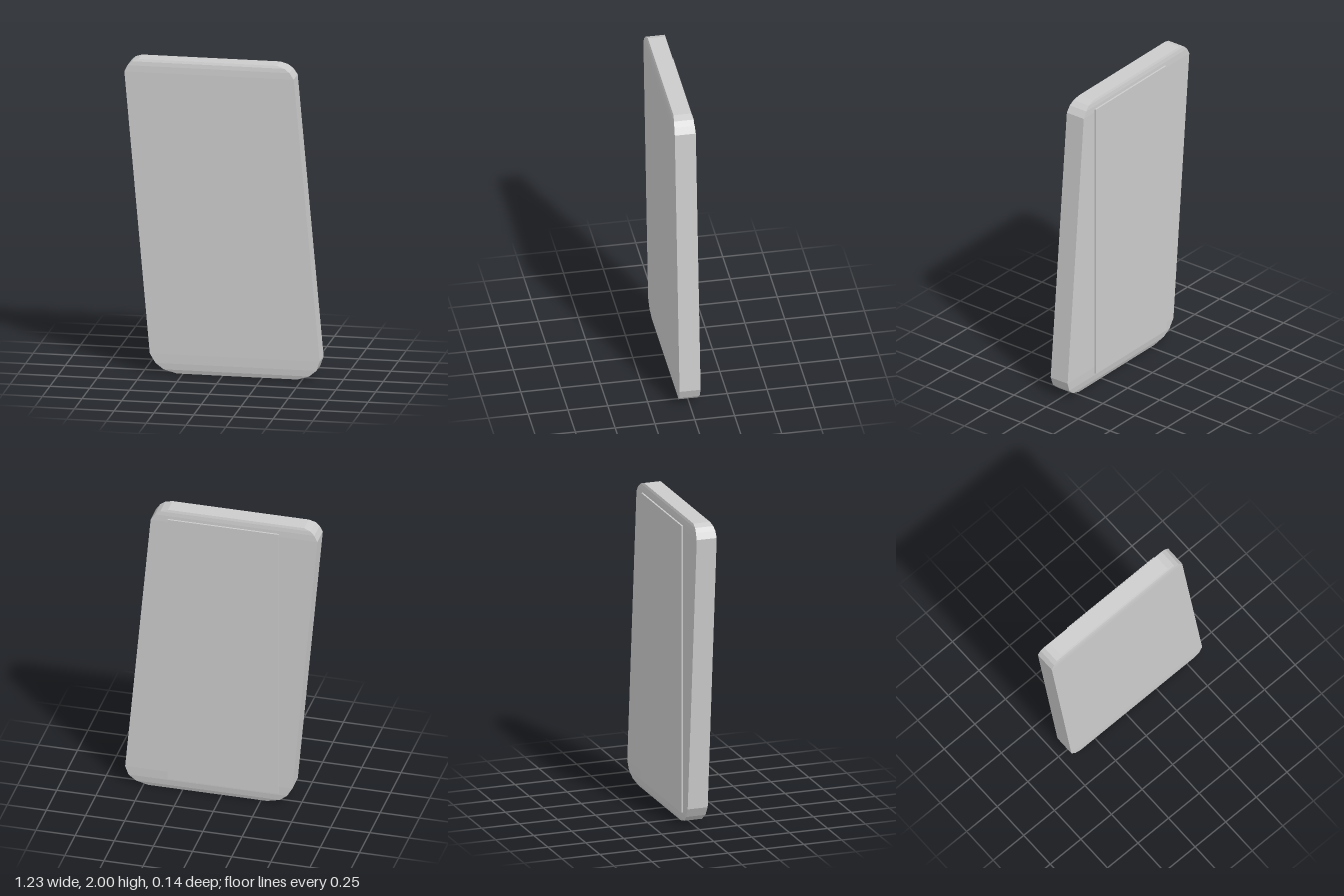
import * as THREE from 'three';

// Closed solid from rectangular cross-sections stacked in y: [y, xLeft, xRight, zBack, zFront]
function loftRows(rows) {
  const positions = [];
  const corners = ([y, x0, x1, z0, z1]) => [[x0, y, z1], [x1, y, z1], [x1, y, z0], [x0, y, z0]];
  const quad = (a, b, c, d) => positions.push(...a, ...b, ...c, ...a, ...c, ...d);
  const rings = rows.map(corners);
  for (let i = 0; i < rings.length - 1; i++) {
    const lo = rings[i], hi = rings[i + 1];
    for (let k = 0; k < 4; k++) {
      const n = (k + 1) % 4;
      quad(lo[k], lo[n], hi[n], hi[k]);
    }
  }
  const bottom = rings[0], top = rings[rings.length - 1];
  quad(bottom[3], bottom[2], bottom[1], bottom[0]);
  quad(top[0], top[1], top[2], top[3]);
  const geometry = new THREE.BufferGeometry();
  geometry.setAttribute('position', new THREE.Float32BufferAttribute(positions, 3));
  geometry.computeVertexNormals();
  return geometry;
}

export function createModel() {
  const group = new THREE.Group();
  group.name = 'slantedPanel';
  const material = new THREE.MeshStandardMaterial({ color: 0xcccccc, flatShading: true });

  // Leaning slab with rounded corners, thinning towards its top and bottom ends
  const body = new THREE.Mesh(loftRows([
    [0, -0.288, 0.47, -0.042, 0.054],
    [0.025, -0.37, 0.545, -0.052, 0.063],
    [0.065, -0.42, 0.592, -0.059, 0.068],
    [0.125, -0.455, 0.613, -0.062, 0.07],
    [1.92, -0.615, 0.45, -0.062, 0.07],
    [1.96, -0.595, 0.423, -0.06, 0.068],
    [1.985, -0.57, 0.39, -0.056, 0.064],
    [2, -0.528, 0.342, -0.051, 0.058],
  ]), material);
  body.name = 'body';
  group.add(body);

  // Thin upright rectangular plate on the back
  const plate = new THREE.Mesh(new THREE.BoxGeometry(0.71, 1.86, 0.03), material);
  plate.name = 'backPlate';
  plate.position.set(-0.015, 1.01, -0.057);
  group.add(plate);

  return group;
}
